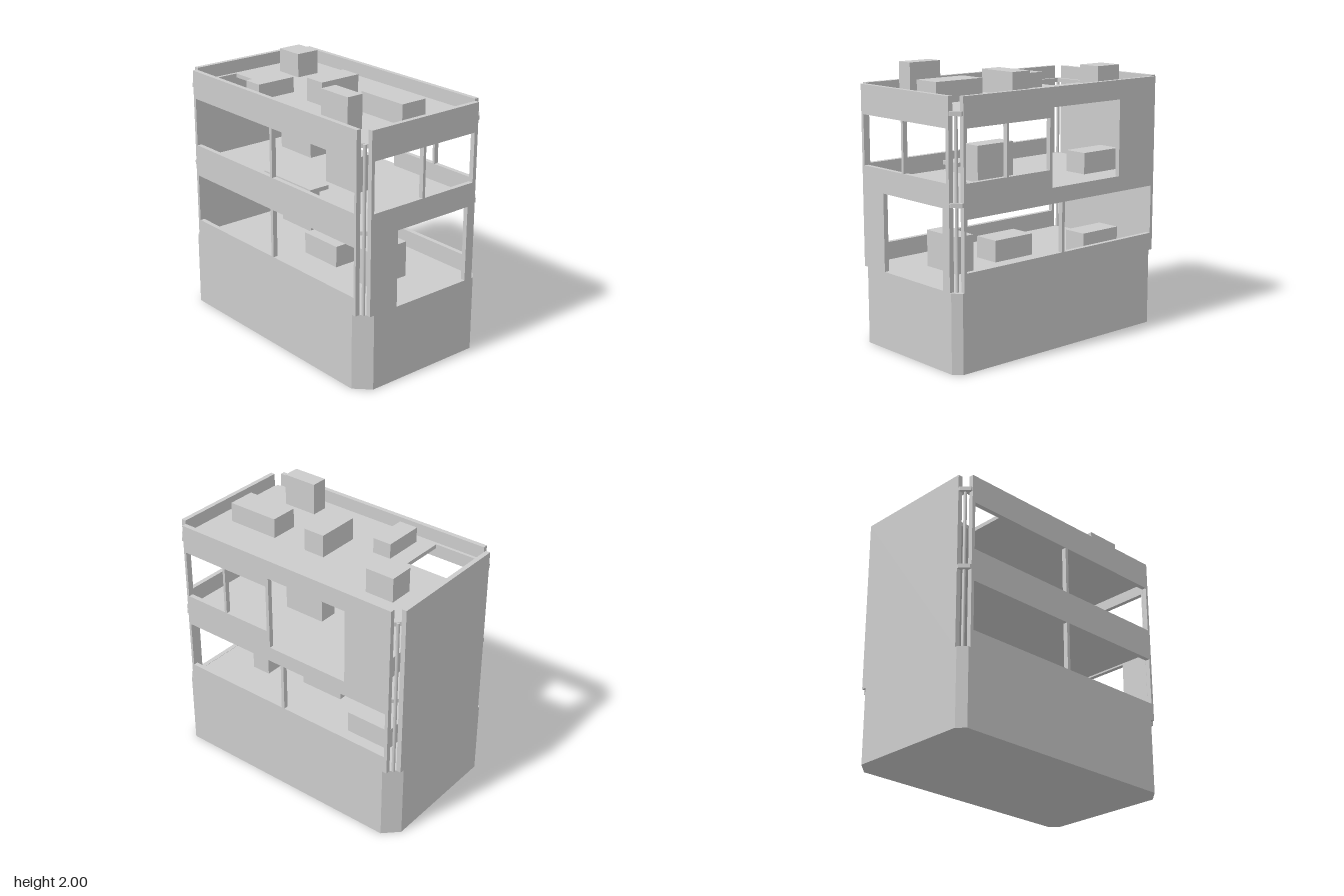
import * as THREE from 'three';

const T = 0.035; // wall thickness

function rectPath(Type, a0, b0, a1, b1) {
  const p = new Type();
  p.moveTo(a0, b0);
  p.lineTo(a1, b0);
  p.lineTo(a1, b1);
  p.lineTo(a0, b1);
  p.closePath();
  return p;
}

// Upright panel drawn in (u, y) with rectangular openings [u0, y0, u1, y1]
function panel(halfWidth, openings) {
  const s = rectPath(THREE.Shape, -halfWidth, 0.56, halfWidth, 1.86);
  openings.forEach(o => s.holes.push(rectPath(THREE.Path, ...o)));
  return new THREE.ExtrudeGeometry(s, { depth: T, bevelEnabled: false });
}

// Horizontal plate with two wide and two narrow cut corners
function plate(y0, y1, inset = 0, opening = null) {
  const X = 0.548 - inset, Z = 0.98 - inset, big = 0.105, small = 0.055;
  const s = new THREE.Shape();
  // Shape coordinates are (x, -z)
  s.moveTo(-X + big, -Z);
  s.lineTo(X - small, -Z);
  s.lineTo(X, -Z + small);
  s.lineTo(X, Z - big);
  s.lineTo(X - big, Z);
  s.lineTo(-X + small, Z);
  s.lineTo(-X, Z - small);
  s.lineTo(-X, -Z + big);
  s.closePath();
  if (opening) s.holes.push(rectPath(THREE.Path, ...opening));
  const g = new THREE.ExtrudeGeometry(s, { depth: y1 - y0, bevelEnabled: false });
  return g.rotateX(-Math.PI / 2).translate(0, y0, 0);
}

export function createModel() {
  const model = new THREE.Group();
  model.name = 'building';
  const grey = new THREE.MeshStandardMaterial({ color: 0xcccccc });
  grey.name = 'plain grey';

  const add = (name, geometry) => {
    const m = new THREE.Mesh(geometry, grey);
    m.name = name;
    model.add(m);
    return m;
  };
  const block = (name, x0, x1, y0, y1, z0, z1) =>
    add(name, new THREE.BoxGeometry(x1 - x0, y1 - y0, z1 - z0)
      .translate((x0 + x1) / 2, (y0 + y1) / 2, (z0 + z1) / 2));

  // Solid base and the floor plates
  add('base', plate(0, 0.56));
  add('upperFloor', plate(1.133, 1.163, 0.002));
  add('roof', plate(1.733, 1.763, 0.002, [-0.49, 0.535, -0.15, 0.92]));

  // Front and back walls
  add('frontWall', panel(0.48, [
    [-0.455, 1.29, -0.025, 1.65], [-0.003, 1.29, 0.45, 1.65], [-0.24, 0.562, 0.41, 1.12],
  ]).translate(0, 0, 0.98 - T));
  add('backWall', panel(0.48, []).translate(0, 0, -0.98));

  // Side walls, with u running along z
  const lower = [[-0.885, 0.69, 0, 1.05], [0.025, 0.69, 0.89, 1.05]];
  const upper = [[-0.885, 1.29, 0, 1.65], [0.025, 1.29, 0.89, 1.65]];
  add('rightSideWall', panel(0.91, [...lower, ...upper])
    .rotateY(-Math.PI / 2).translate(-0.548 + T, 0, 0));
  add('leftSideWall', panel(0.91, [
    ...lower, [0.54, 1.29, 0.89, 1.65], [0.145, 1.29, 0.52, 1.65], [-0.54, 1.163, 0.12, 1.72],
  ]).rotateY(-Math.PI / 2).translate(0.548, 0, 0));

  // Slim corner posts
  for (const sx of [-1, 1]) for (const sz of [-1, 1]) {
    add('cornerPost', new THREE.CylinderGeometry(0.012, 0.012, 1.2, 12)
      .translate(sx * 0.495, 1.16, sz * 0.929));
  }

  // Blocks on the roof
  const roofY = 1.763;
  block('roofBlock', -0.435, -0.125, roofY, 1.875, -0.405, -0.26);
  block('roofBlock', -0.185, 0.145, roofY, 1.93, -0.035, 0.13);
  block('roofBlock', -0.43, -0.305, roofY, 2.0, 0.415, 0.685);
  block('roofBlock', -0.065, 0.145, roofY, 1.91, 0.405, 0.81);
  block('roofBlock', 0.14, 0.325, roofY, 1.94, -0.76, -0.54);

  // Furniture on the upper floor
  block('upperBlock', -0.085, 0.06, 1.163, 1.425, 0.05, 0.38);
  block('upperBlock', 0.145, 0.33, 1.163, 1.32, -0.76, -0.405);
  block('tableTop', -0.43, -0.27, 1.22, 1.25, -0.22, 0.3);
  block('tableBase', -0.4, -0.3, 1.163, 1.22, -0.155, 0.24);

  // Furniture on the lower floor
  block('lowerBlock', -0.18, 0.15, 0.56, 0.825, 0.5, 0.65);
  block('lowerBlock', -0.135, 0.07, 0.56, 0.72, -0.13, 0.225);
  block('lowerBlock', 0.145, 0.33, 0.56, 0.72, -0.76, -0.405);

  return model;
}
